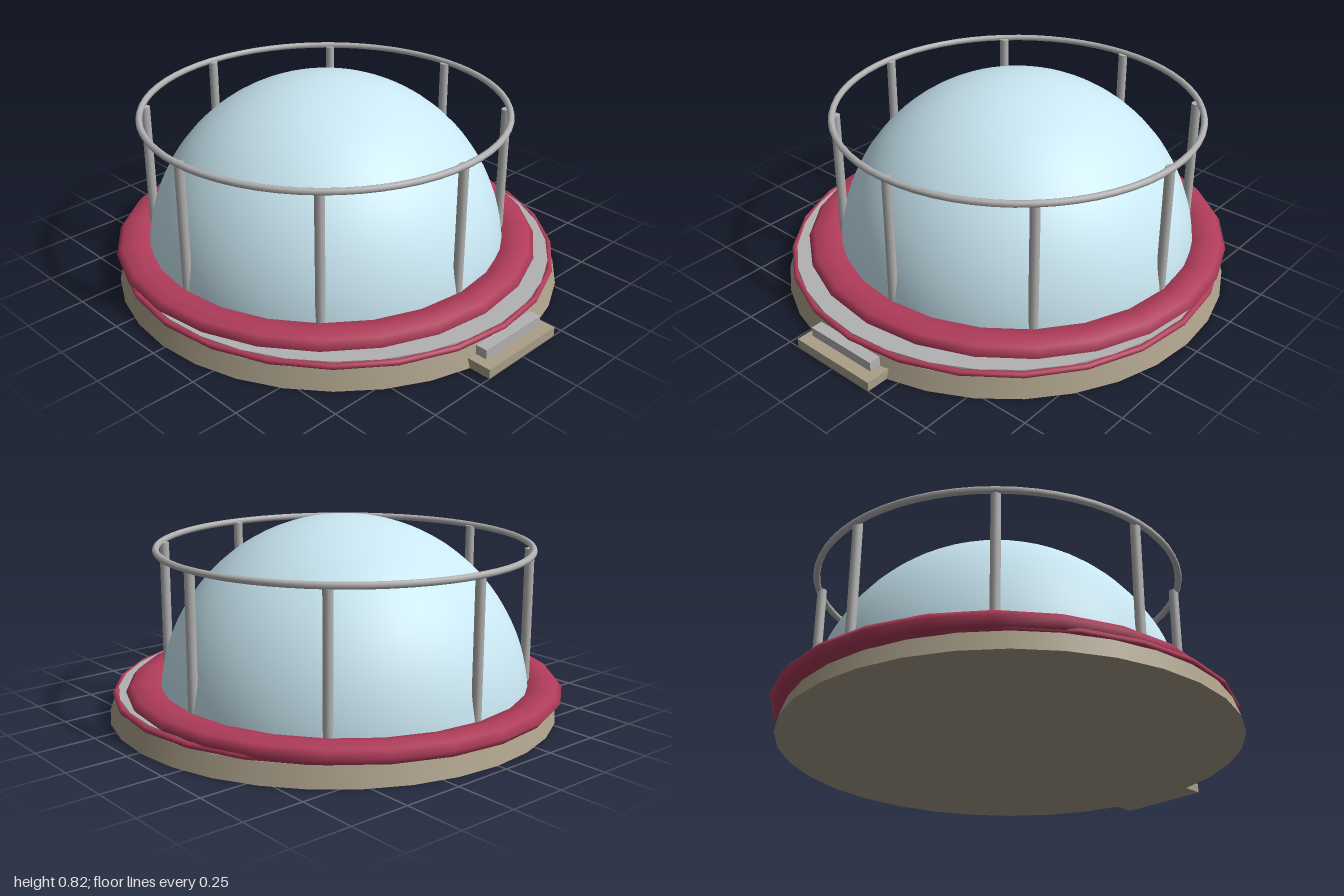
import * as THREE from 'three';

const BASE_Z = -0.015; // centre of the base plate
const DOME_Z = -0.09;  // centre of the dome, cushion ring and railing

export function createModel() {
  const model = new THREE.Group();
  model.name = 'railedDome';
  const mat = (color) => new THREE.MeshStandardMaterial({ color });
  const tan = mat(0xa99e88), red = mat(0xb03c5a), grey = mat(0xb2b2b2), glass = mat(0xcae8f3);

  const add = (name, geometry, material, x, y, z, parent = model) => {
    const mesh = new THREE.Mesh(geometry, material);
    mesh.name = name;
    mesh.position.set(x, y, z);
    parent.add(mesh);
    return mesh;
  };
  // Torus lying flat, optionally squashed in height
  const flatTorus = (radius, tube, radial, tubular, squash = 1) =>
    new THREE.TorusGeometry(radius, tube, radial, tubular)
      .rotateX(Math.PI / 2).rotateY(Math.PI / 2).scale(1, squash, 1);

  // Tapered base with a thin deck and red trim
  add('base', new THREE.CylinderGeometry(0.918, 0.945, 0.08, 32), tan, 0, 0.04, BASE_Z);
  add('deck', new THREE.CylinderGeometry(0.905, 0.905, 0.03, 32), grey, 0, 0.09, BASE_Z);
  add('baseTrim', flatTorus(0.916, 0.013, 8, 24), red, 0, 0.092, BASE_Z);

  // Cushion ring around the dome
  add('cushionRing', flatTorus(0.83, 0.08, 8, 24, 0.5), red, 0, 0.118, DOME_Z);

  // Dome
  add('dome', new THREE.SphereGeometry(0.772, 48, 24, 0, Math.PI * 2, 0, Math.PI / 2),
    glass, 0, 0.053, DOME_Z);

  // Railing: eight posts and a top rail
  const railing = new THREE.Group();
  railing.name = 'railing';
  railing.position.z = DOME_Z;
  model.add(railing);
  const postGeometry = new THREE.CylinderGeometry(0.02, 0.02, 0.58, 12);
  for (let i = 0; i < 8; i++) {
    const a = (i * Math.PI) / 4;
    add('post', postGeometry, grey, 0.755 * Math.sin(a), 0.41, 0.755 * Math.cos(a), railing);
  }
  add('topRail', flatTorus(0.769, 0.014, 8, 64), grey, 0, 0.702, 0, railing);

  // Front step and the tread above it
  add('frontStep', new THREE.BoxGeometry(0.4, 0.04, 0.12), tan, 0, 0.02, 0.94);
  add('frontTread', new THREE.BoxGeometry(0.33, 0.04, 0.05), grey, 0, 0.066, 0.928);

  return model;
}
